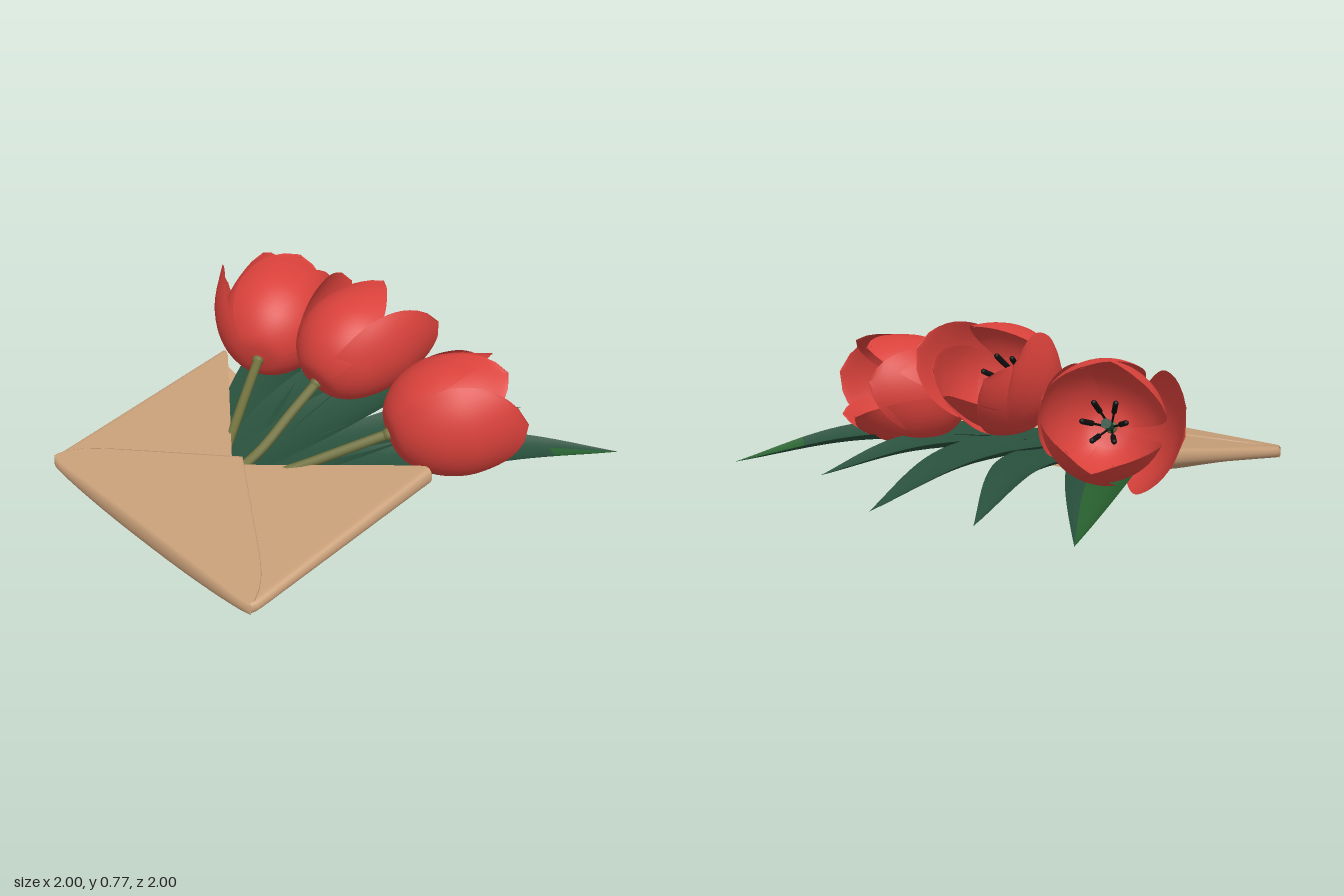
import * as THREE from 'three';

const mat = (name, color) => {
  const m = new THREE.MeshStandardMaterial({ color, side: THREE.DoubleSide });
  m.name = name;
  return m;
};
const V = (x, y, z) => new THREE.Vector3(x, y, z);
const { lerp } = THREE.MathUtils;

// Smooth open surface from a rule fn(u, v) -> Vector3, with u and v in 0..1
function surface(fn, nu, nv) {
  const pos = [], idx = [];
  for (let j = 0; j <= nv; j++) {
    for (let i = 0; i <= nu; i++) {
      pos.push(...fn(i / nu, j / nv).toArray());
      if (i < nu && j < nv) {
        const a = j * (nu + 1) + i, b = a + 1, c = a + nu + 1, d = c + 1;
        idx.push(a, b, d, a, d, c);
      }
    }
  }
  const g = new THREE.BufferGeometry();
  g.setAttribute('position', new THREE.Float32BufferAttribute(pos, 3));
  g.setIndex(idx);
  g.computeVertexNormals();
  return g;
}

export function createModel() {
  const paper = mat('kraft paper', 0xc89f79);
  const red = mat('petal red', 0xd9413b);
  const green = mat('leaf green', 0x284f3c);
  const bright = mat('bright leaf green', 0x28602f);
  const olive = mat('stem olive', 0x6f703d);
  const black = mat('stamen black', 0x101010);
  const model = new THREE.Group();
  const add = (parent, name, geometry, material) => {
    const m = new THREE.Mesh(geometry, material);
    m.name = name;
    parent.add(m);
    return m;
  };

  // ---- Envelope: flat on top, bellied below, thin along both sides ----
  const envelope = new THREE.Group();
  envelope.name = 'envelope';
  model.add(envelope);
  const HW = 0.67, ZF = 0.98;
  const top = (z) => 0.278 - 0.188 * z;
  const bottom = (x, z) => {
    const middle = z < 0.4 ? 0.018 + 0.082 * (1 - z / 0.4) : 0.018 * (ZF - z) / (ZF - 0.4);
    return lerp(middle, lerp(0.2, 0.038, z), Math.abs(x / HW) ** 2.4);
  };
  // back panel, curving up into a rounded fold along each side
  add(envelope, 'backPanel', surface((u, v) => {
    const s = u < 0.5 ? -1 : 1, e = Math.min(u, 1 - u) * 4, z = v * ZF;
    if (e >= 1) {
      const x = (u - 0.5) * 4 * HW;
      return V(x, bottom(x, z), z);
    }
    const a = e * Math.PI, t = top(z), b = bottom(HW, z);
    const end = 1 - 0.4 * Math.max(0, (z - 0.94) / 0.04) ** 2;
    return V(s * (HW + 0.035 * end * Math.pow(Math.max(0, Math.sin(a)), 0.7)),
      (t + b) / 2 + (t - b) / 2 * Math.cos(a), z);
  }, 64, 40), paper);
  // side flaps whose cut edges form the open V
  for (const s of [-1, 1]) {
    add(envelope, 'sideFlap', surface((u, v) => {
      const x = u * HW, z = lerp(Math.max(0, 0.51 * (1 - x / 0.66)), ZF, v);
      return V(s * x, top(z), z);
    }, 20, 8), paper);
  }
  add(envelope, 'bottomFold', surface((u, v) => {
    const k = Math.sin((u - 0.5) * Math.PI), x = k * (HW + 0.021), a = v * Math.PI;
    const t = top(ZF), b = bottom(Math.min(HW, Math.abs(x)), ZF);
    return V(x, (t + b) / 2 + (t - b) / 2 * Math.cos(a),
      ZF + 0.02 * Math.sin(a) * Math.sqrt(Math.max(0, 1 - k ** 20)));
  }, 40, 10), paper);
  // triangular flap with a thin raised edge
  add(envelope, 'bottomFlap', surface((u, v) => {
    const x = (u * 2 - 1) * 0.69, k = Math.abs(x) / 0.69;
    const z = lerp(0.45 + 0.45 * k + 0.06 * k ** 14, 0.985, v * v);
    return V(x, top(z) + 0.007 * Math.min(1, v * 12), z);
  }, 40, 12), paper);

  // ---- Leaves: spine, half width, dark share of the length, bright side ----
  const leaves = [
    [[V(-0.1, 0.11, 0.48), V(-0.38, 0.165, 0.05), V(-0.68, 0.19, -0.43), V(-0.97, 0.15, -0.91)], 0.15, 0.54, -1],
    [[V(-0.07, 0.12, 0.5), V(-0.19, 0.17, 0.05), V(-0.28, 0.2, -0.45), V(-0.41, 0.09, -0.84)], 0.13, 1, 1],
    [[V(-0.01, 0.14, 0.52), V(0, 0.185, 0.05), V(0.025, 0.2, -0.5), V(0.01, 0.1, -1)], 0.145, 1, 1],
    [[V(0.07, 0.12, 0.5), V(0.21, 0.17, 0.05), V(0.36, 0.2, -0.45), V(0.48, 0.13, -0.85)], 0.13, 1, 1],
    [[V(0.1, 0.11, 0.48), V(0.41, 0.165, 0.05), V(0.73, 0.19, -0.45), V(1, 0.11, -0.91)], 0.145, 0.8, 1],
  ];
  for (const [points, width, split, s] of leaves) {
    const spine = new THREE.CatmullRomCurve3(points);
    const blade = (from, to, k0, k1) => surface((u, v) => {
      const t = lerp(from, to, v), k = s * lerp(k0, k1, u);
      const p = spine.getPoint(t), d = spine.getTangent(t);
      const side = V(-d.z, 0, d.x).normalize();
      const w = width * Math.max(0, Math.sin(Math.PI * (0.14 + 0.86 * t)));
      p.addScaledVector(side, w * k);
      p.y += w * 0.4 * Math.min(1, t * 1.8) * (k * k - 0.5);
      return p;
    }, 10, 28);
    add(model, 'leaf', blade(0, split, -1, 1), green);
    if (split < 1) {
      add(model, 'leafTipInner', blade(split, 1, -1, -0.4), green);
      add(model, 'leafTipOuter', blade(split, 1, -0.4, 1), bright);
    }
  }

  // ---- Tulips ----
  const profile = new THREE.CatmullRomCurve3([
    V(0.012, 0, 0), V(0.11, 0.02, 0), V(0.2, 0.11, 0),
    V(0.243, 0.25, 0), V(0.222, 0.4, 0), V(0.165, 0.54, 0)]);
  const petal = (angle, scale, halfAngle, flare) => surface((u, v) => {
    const k = u * 2 - 1, p = profile.getPoint(v);
    const w = halfAngle * Math.pow(Math.max(0, 1 - v ** 4.5), 0.65);
    const a = angle + k * w;
    const r = p.x * scale * (1 + 0.05 * k * k * v) + flare * v ** 2.5;
    return V(Math.sin(a) * r, p.y, Math.cos(a) * r);
  }, 18, 24);

  // base, axis, petals as [angle from the top, flare] for both whorls, stem path
  const tulips = [
    { base: V(-0.43, 0.33, 0), axis: V(-0.49, 0.3, -0.8),
      outer: [[-1.75, 0.17], [0.35, 0.03], [2.45, 0.01]], inner: [[-0.6, 0.05], [1.3, 0.07], [3.5, 0.04]],
      stem: [V(-0.08, 0.13, 0.52), V(-0.2, 0.2, 0.34)] },
    { base: V(0, 0.4, 0.02), axis: V(0, 0.48, -0.88),
      outer: [[0, -0.05], [2.1, 0], [-2.1, 0]], inner: [[1.6, 0.12], [-1.6, 0.12], [3.14, 0.02]],
      stem: [V(0.02, 0.14, 0.54), V(0.015, 0.2, 0.36)] },
    { base: V(0.44, 0.33, 0), axis: V(0.4, 0.22, -0.8),
      outer: [[1.6, 0.09], [-0.4, 0], [-2.5, 0.01]], inner: [[0.6, 0.04], [-1.4, 0.04], [2.7, 0.03]],
      stem: [V(0.08, 0.13, 0.52), V(0.22, 0.2, 0.34)] },
  ];
  for (const t of tulips) {
    const d = t.axis.normalize();
    const up = V(0, 1, 0).addScaledVector(d, -d.y).normalize();
    const flower = new THREE.Group();
    flower.name = 'tulip';
    flower.quaternion.setFromRotationMatrix(new THREE.Matrix4().makeBasis(d.clone().cross(up), d, up));
    flower.position.copy(t.base);
    model.add(flower);
    for (const [angle, flare] of t.outer) add(flower, 'outerPetal', petal(angle, 1.03, 1.05, flare), red);
    for (const [angle, flare] of t.inner) add(flower, 'innerPetal', petal(angle, 0.95, 0.95, flare), red);
    // pistil and ring of stamens
    add(flower, 'pistil', new THREE.CylinderGeometry(0.022, 0.018, 0.2, 10), green).position.y = 0.12;
    for (let i = 0; i < 6; i++) {
      const arm = new THREE.Group();
      arm.name = 'stamen';
      arm.rotation.y = i * Math.PI / 3;
      flower.add(arm);
      const anther = add(arm, 'anther', new THREE.CapsuleGeometry(0.012, 0.1, 4, 8), black);
      anther.position.set(0.075, 0.25, 0);
      anther.rotation.z = -0.3;
      const filament = add(arm, 'filament', new THREE.CylinderGeometry(0.005, 0.005, 0.2, 6), black);
      filament.position.set(0.034, 0.11, 0);
      filament.rotation.z = -0.3;
    }
    const path = new THREE.CatmullRomCurve3([...t.stem,
      t.base.clone().addScaledVector(d, -0.02).lerp(t.stem[1], 0.4), t.base.clone().addScaledVector(d, 0.03)]);
    add(model, 'stem', new THREE.TubeGeometry(path, 24, 0.022, 10), olive);
    add(flower, 'stemCap', new THREE.SphereGeometry(0.028, 12, 8), olive);
  }
  return model;
}
